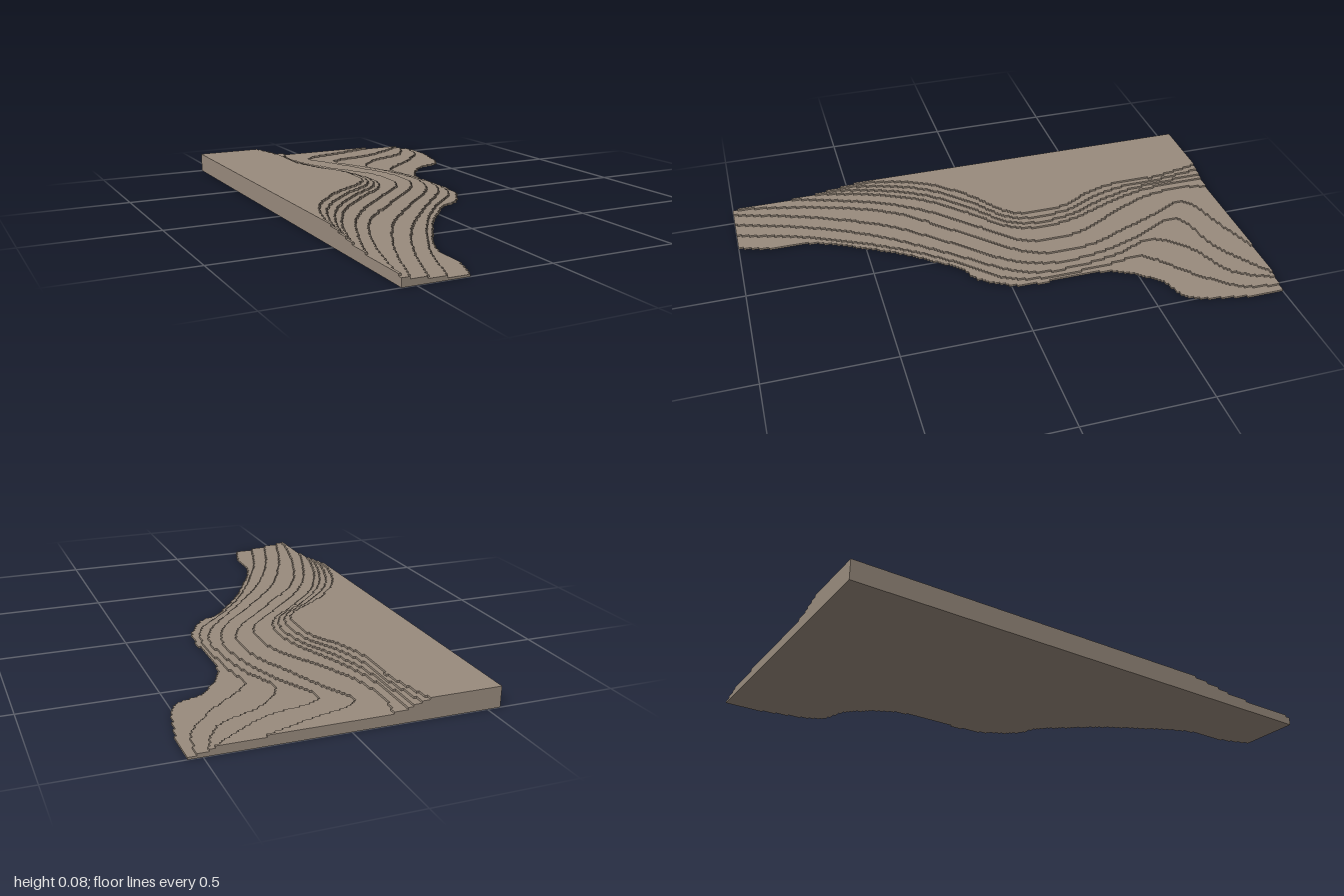
import * as THREE from 'three';

const LEFT = -0.55, CELL = 0.01, STEP = 0.0078;

// Contour of each terrace as x,z pairs from the back edge to the front
const base = [.55,-1, .545,-.85, .53,-.78, .515,-.7, .475,-.62, .43,-.6, .37,-.575, .33,-.53, .28,-.46, .245,-.36,
  .245,-.1, .235,-.02, .2,.05, .15,.12, .07,.165, 0,.25, -.09,.37, -.17,.51, -.22,.6, -.26,.7, -.27,.77, -.275,.88, -.31,1];
const second = [.52,-1, .49,-.85, .36,-.7, .24,-.6, .2,-.53, .22,-.38, .225,-.12, .18,.02, .05,.155, -.08,.32, -.2,.52, -.31,.75, -.39,1];
const third = [.485,-1, .4,-.85, .22,-.76, .12,-.63, .17,-.47, .2,-.3, .2,-.13, .14,0, -.03,.2, -.22,.45, -.36,.72, -.46,1];
const fourth = [.465,-1, .25,-.86, .056,-.81, .02,-.74, .09,-.59, .15,-.4, .165,-.2, .1,-.03, -.08,.17, -.27,.4, -.42,.7, -.52,1];
const fifth = [.3,-1, .13,-.94, -.04,-.89, -.08,-.83, -.03,-.72, .04,-.54, .1,-.38, .11,-.2, .04,-.06, -.15,.14, -.34,.35, -.47,.65, -.55,.98];
const sixth = [-.147,-1, -.17,-.88, -.15,-.72, -.08,-.55, 0,-.4, .035,-.24, 0,-.1, -.13,.03, -.29,.2, -.42,.4, -.55,.75];
const seventh = [-.2,-1, -.2,-.83, -.18,-.68, -.13,-.52, -.07,-.36, -.05,-.2, -.1,-.07, -.24,.06, -.38,.22, -.48,.42, -.55,.65];
const summit = [-.28,-1, -.236,-.79, -.244,-.66, -.21,-.49, -.14,-.34, -.13,-.19, -.17,-.09, -.33,.03, -.46,.18, -.52,.33, -.55,.475];
const blend = (a, b, t) => a.map((v, i) => v + (b[i] - v) * t);

const contours = [base, second, third, fourth, fifth, sixth, seventh,
  blend(seventh, summit, 0.3), blend(seventh, summit, 0.65), summit];

// Stair-stepped slab: one grid row at a time along the contour
function terraceGeometry(flat) {
  const pts = [];
  for (let i = 0; i < flat.length; i += 2) pts.push(new THREE.Vector2(flat[i], flat[i + 1]));
  const line = new THREE.SplineCurve(pts).getPoints(500);
  const outline = [new THREE.Vector2(LEFT, 1)];
  const end = pts[pts.length - 1].y;
  const rows = Math.round((end + 1) / CELL);
  let j = 0, last = -1;
  for (let k = 0; k < rows; k++) {
    const z = -1 + (k + 0.5) * CELL;
    while (j < line.length - 2 && line[j + 1].y < z) j++;
    const p = line[j], q = line[j + 1];
    const t = THREE.MathUtils.clamp((z - p.y) / Math.max(q.y - p.y, 1e-6), 0, 1);
    const cells = Math.max(1, Math.round((p.x + (q.x - p.x) * t - LEFT) / CELL));
    const x = Math.min(0.55, LEFT + cells * CELL);
    if (cells !== last) {
      if (k > 0) outline.push(new THREE.Vector2(LEFT + last * CELL, 1 - k * CELL));
      outline.push(new THREE.Vector2(x, 1 - k * CELL));
    }
    last = cells;
  }
  const front = 1 - rows * CELL;
  outline.push(new THREE.Vector2(LEFT + last * CELL, front), new THREE.Vector2(LEFT, front));
  const geometry = new THREE.ExtrudeGeometry(new THREE.Shape(outline), { depth: STEP, bevelEnabled: false });
  return geometry.rotateX(-Math.PI / 2);
}

export function createModel() {
  const group = new THREE.Group();
  group.name = 'terracedTerrain';
  const stone = new THREE.MeshStandardMaterial({ color: 0x998b7d });
  stone.name = 'warm grey stone';

  // Terraces stacked from the ground up to the plateau
  contours.forEach((contour, i) => {
    const mesh = new THREE.Mesh(terraceGeometry(contour), stone);
    mesh.name = i === contours.length - 1 ? 'plateau' : `terrace${i + 1}`;
    mesh.position.y = i * STEP;
    group.add(mesh);
  });
  return group;
}
